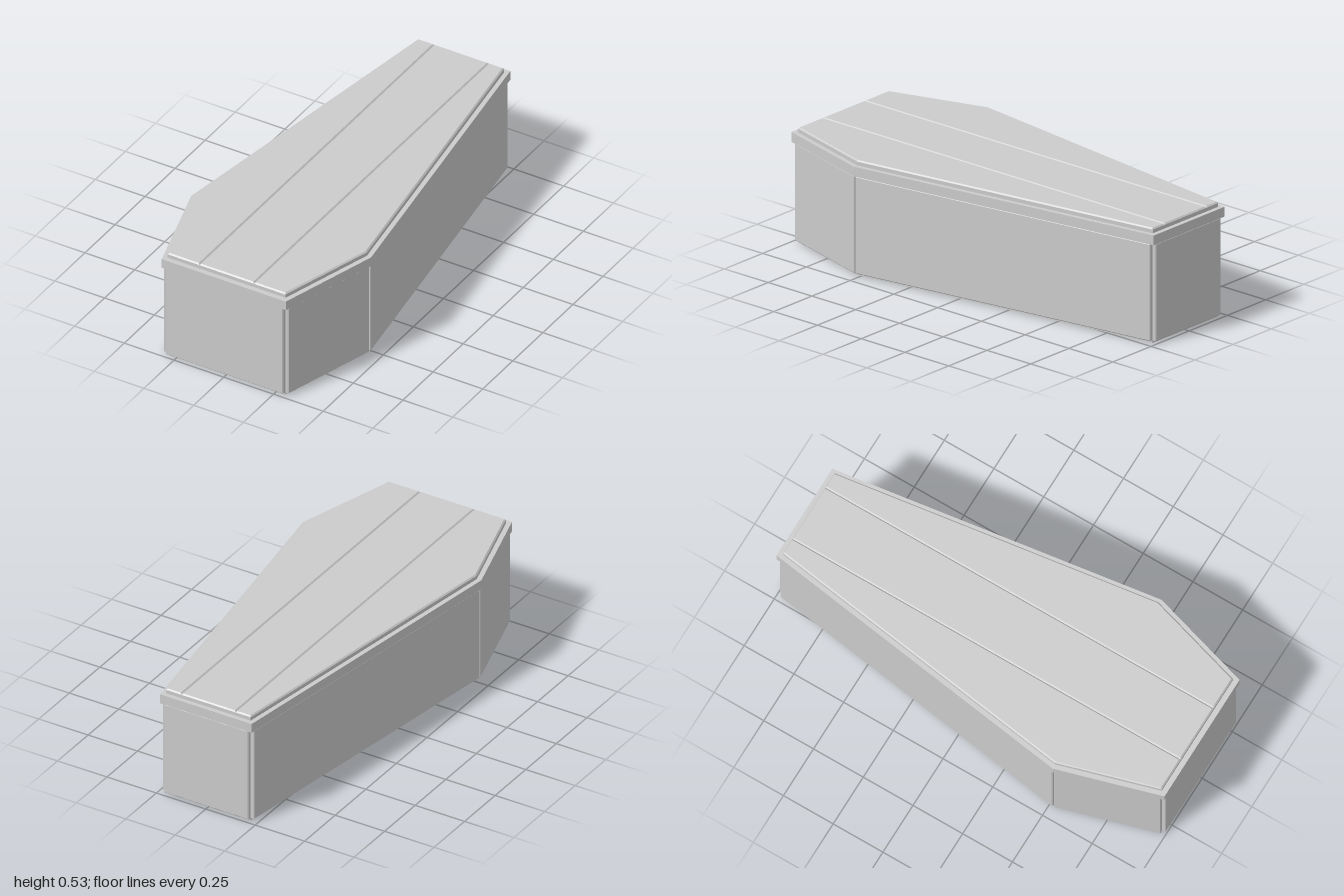
import * as THREE from 'three';

// Six-sided outline seen from above, as [x, z] corners
const outline = (front, mid, back, zFront, zMid, zBack) => [
  [front, zFront], [mid, zMid], [back, zBack],
  [-back, zBack], [-mid, zMid], [-front, zFront],
];

const mat = new THREE.MeshStandardMaterial({ color: 0xcccccc, flatShading: true });

function mesh(name, geometry) {
  const m = new THREE.Mesh(geometry, mat);
  m.name = name;
  return m;
}

// Extrusion whose chamfer stays inside the given outline and depth
function chamfered(points, depth, chamfer) {
  const shape = new THREE.Shape(points.map(([x, y]) => new THREE.Vector2(x, y)));
  const geometry = new THREE.ExtrudeGeometry(shape, {
    depth: depth - 2 * chamfer,
    bevelEnabled: chamfer > 0,
    bevelSize: chamfer,
    bevelOffset: -chamfer,
    bevelThickness: chamfer,
    bevelSegments: 1,
  });
  return geometry.translate(0, 0, chamfer);
}

// Flat slab lying between two heights
function slab(name, points, y0, y1, chamfer = 0) {
  const geometry = chamfered(points.map(([x, z]) => [x, -z]), y1 - y0, chamfer);
  return mesh(name, geometry.rotateX(-Math.PI / 2).translate(0, y0, 0));
}

export function createModel() {
  const group = new THREE.Group();
  group.name = 'coffin';

  const core = outline(0.295, 0.429, 0.213, 0.976, 0.52, -0.977);
  const rim = outline(0.312, 0.452, 0.232, 1, 0.523, -1);
  const rimBottom = 0.46, rimTop = 0.505, lidTop = 0.528;

  // Inner box, which shows as the base and in the corner grooves
  group.add(slab('innerBox', core, 0, rimBottom));

  // One chamfered board on each of the six sides
  const walls = new THREE.Group();
  walls.name = 'wallPanels';
  const wallBottom = 0.012, thickness = 0.019, sunk = 0.006;
  core.forEach(([x0, z0], i) => {
    const [x1, z1] = core[(i + 1) % core.length];
    const half = Math.hypot(x1 - x0, z1 - z0) / 2;
    const board = [[-half, wallBottom], [half, wallBottom], [half, rimBottom], [-half, rimBottom]];
    const geometry = chamfered(board, thickness + sunk, 0.004).translate(0, 0, -sunk);
    const panel = mesh('wallPanel', geometry);
    panel.position.set((x0 + x1) / 2, 0, (z0 + z1) / 2);
    panel.rotation.y = Math.atan2(z0 - z1, x1 - x0);
    // Turn the board so that its face points away from the middle
    const out = new THREE.Vector3(0, 0, 1).applyEuler(panel.rotation);
    if (out.dot(panel.position) < 0) panel.rotation.y += Math.PI;
    walls.add(panel);
  });
  group.add(walls);

  // Lid: overhanging rim and three boards meeting in V grooves
  const lid = new THREE.Group();
  lid.name = 'lid';
  lid.add(slab('lidRim', rim, rimBottom, rimTop));
  const g = 0.137, zf = 0.976, zb = -0.979, y0 = rimTop - 0.01;
  lid.add(slab('lidCentreBoard', [[-g, zf], [g, zf], [g, zb], [-g, zb]], y0, lidTop, 0.006));
  for (const s of [1, -1]) {
    const side = [[g, zf], [0.296, zf], [0.43, 0.52], [0.214, zb], [g, zb]];
    lid.add(slab('lidSideBoard', side.map(([x, z]) => [s * x, z]), y0, lidTop, 0.006));
  }
  group.add(lid);

  return group;
}
